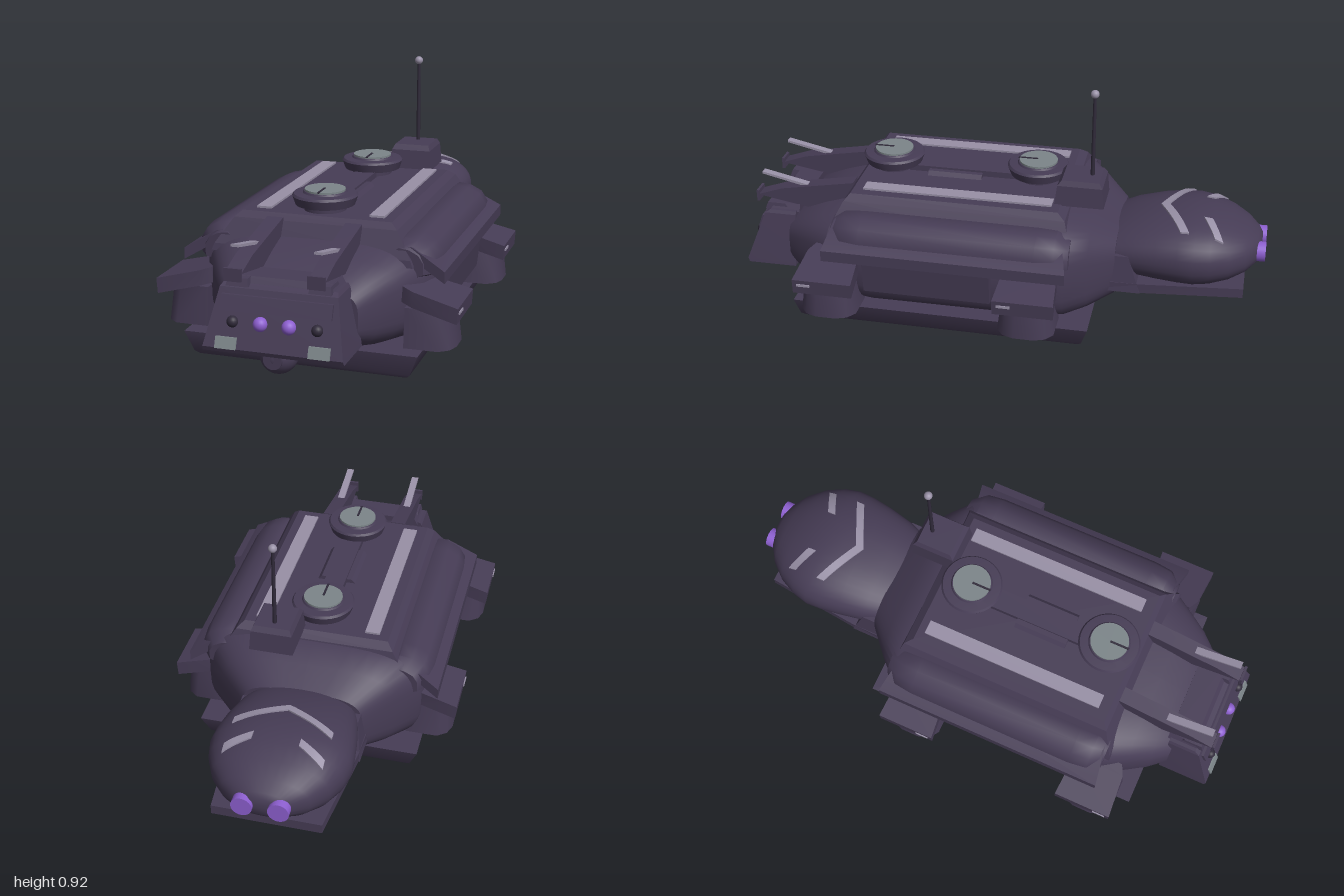
import * as THREE from 'three';
import { toCreasedNormals } from 'three/addons/utils/BufferGeometryUtils.js';

const mat = (name, color) => {
  const m = new THREE.MeshStandardMaterial({ color });
  m.name = name;
  return m;
};

// Skin a list of equal-length point rings, cap both ends, and face it outward.
function loft(rings, crease = 0.6) {
  const n = rings[0].length, pos = [], idx = [];
  const tri = (a, b, c) => idx.push(a, b, c);
  rings.forEach(r => r.forEach(p => pos.push(...p)));
  for (let i = 0; i < rings.length - 1; i++) {
    for (let j = 0; j < n; j++) {
      const a = i * n + j, b = i * n + (j + 1) % n;
      tri(a, b, b + n);
      tri(a, b + n, a + n);
    }
  }
  const last = (rings.length - 1) * n;
  for (let j = 1; j < n - 1; j++) {
    tri(0, j + 1, j);
    tri(last, last + j, last + j + 1);
  }
  const v = i => new THREE.Vector3(pos[3 * i], pos[3 * i + 1], pos[3 * i + 2]);
  const origin = v(0);
  let volume = 0;
  for (let i = 0; i < idx.length; i += 3) {
    const [a, b, c] = [0, 1, 2].map(k => v(idx[i + k]).sub(origin));
    volume += a.dot(b.cross(c));
  }
  if (volume < 0) idx.reverse();
  const g = new THREE.BufferGeometry();
  g.setAttribute('position', new THREE.Float32BufferAttribute(pos, 3));
  g.setIndex(idx);
  return toCreasedNormals(g, crease);
}

// Horizontal rectangle ring
const rect = (y, x0, x1, z0, z1) => [[x0, y, z0], [x1, y, z0], [x1, y, z1], [x0, y, z1]];
// Front-view profile run along z, and side-view profile [z, y] run along x
const alongZ = (pts, z0, z1) => loft([z0, z1].map(z => pts.map(([x, y]) => [x, y, z])));
const alongX = (pts, x0, x1) => loft([x0, x1].map(x => pts.map(([z, y]) => [x, y, z])));
// Rounded cross-section
function oval([z, w, y0, y1], power, count = 40) {
  const f = c => Math.sign(c) * Math.abs(c) ** (2 / power);
  return Array.from({ length: count }, (_, i) => {
    const a = i / count * Math.PI * 2;
    return [w * f(Math.cos(a)), (y0 + y1) / 2 + (y1 - y0) / 2 * f(Math.sin(a)), z];
  });
}

export function createModel() {
  const root = new THREE.Group();
  root.name = 'armouredCarrier';
  const hullMat = mat('dark plum hull', 0x463c55);
  const darkMat = mat('near black trim', 0x302a3a);
  const trimMat = mat('pale lavender trim', 0x9890a6);
  const glassMat = mat('grey glass', 0x7c8589);
  const glowMat = mat('violet lamp', 0x8d5fd0);
  const add = (name, geo, m = hullMat, x = 0, y = 0, z = 0) => {
    const mesh = new THREE.Mesh(geo, m);
    mesh.name = name;
    mesh.position.set(x, y, z);
    root.add(mesh);
    return mesh;
  };

  // Flared base and rounded hull
  add('base', loft([
    rect(0.005, -0.38, 0.38, -0.34, 0.72), rect(0.02, -0.395, 0.395, -0.355, 0.735),
    rect(0.095, -0.425, 0.425, -0.38, 0.75)]));
  add('hull', loft([
    [0.82, 0.24, 0.13, 0.33], [0.76, 0.29, 0.1, 0.37], [0.68, 0.34, 0.08, 0.4],
    [0.58, 0.4, 0.07, 0.43], [0.45, 0.43, 0.065, 0.45], [-0.18, 0.43, 0.065, 0.47],
    [-0.28, 0.41, 0.07, 0.47], [-0.36, 0.33, 0.08, 0.43], [-0.45, 0.23, 0.11, 0.37],
  ].map(s => oval(s, 3.6)), 0.7));

  // Raised roof deck
  add('roofDeck', loft([
    rect(0.36, -0.37, 0.37, -0.31, 0.62), rect(0.385, -0.36, 0.36, -0.3, 0.615),
    rect(0.475, -0.3, 0.3, -0.27, 0.57), rect(0.497, -0.275, 0.275, -0.24, 0.55)], 0.25));
  add('roofSpine', loft([
    rect(0.49, -0.08, 0.08, 0.09, 0.3), rect(0.512, -0.06, 0.06, 0.09, 0.3)]));
  add('spineRidge', new THREE.BoxGeometry(0.08, 0.03, 0.42), hullMat, 0, 0.505, 0.17);

  // Roof hatches
  for (const z of [-0.12, 0.45]) {
    const profile = [[0, 0.49], [0.075, 0.49], [0.075, 0.518], [0.107, 0.518],
      [0.118, 0.55], [0.112, 0.558], [0.08, 0.56], [0.076, 0.566], [0, 0.566]]
      .map(p => new THREE.Vector2(...p));
    add('hatchRing', toCreasedNormals(new THREE.LatheGeometry(profile, 36), 0.5), hullMat, 0, 0, z);
    add('hatchGlass', new THREE.CylinderGeometry(0.073, 0.073, 0.008, 32), glassMat, 0, 0.569, z);
    add('hatchSlot', new THREE.BoxGeometry(0.008, 0.004, 0.075), darkMat, 0, 0.573, z + 0.04);
  }

  // Antenna and its housing
  add('antennaHousing', loft([
    rect(0.492, 0.045, 0.21, -0.4, -0.215), rect(0.57, 0.05, 0.204, -0.393, -0.225),
    rect(0.59, 0.06, 0.195, -0.38, -0.24)], 0.2));
  add('antennaRod', new THREE.CylinderGeometry(0.006, 0.008, 0.32, 10), darkMat, 0.125, 0.745, -0.345);
  add('antennaTip', new THREE.SphereGeometry(0.016, 16, 12), trimMat, 0.125, 0.913, -0.345);

  for (const s of [1, -1]) {
    const mx = pts => pts.map(([x, ...rest]) => [x * s, ...rest]);
    add('roofStripe', new THREE.BoxGeometry(0.055, 0.009, 0.72), trimMat, s * 0.21, 0.5, 0.15);

    // Side bulge, sloping skirt and door panel
    const bulge = [[0.29, 0.35], [0.29, 0.43], [0.325, 0.455], [0.375, 0.448],
      [0.42, 0.425], [0.445, 0.385], [0.445, 0.33], [0.37, 0.3]];
    add('sideBulge', loft([[0.6, 0.72], [0.55, 0.95], [0.48, 1], [-0.18, 1], [-0.25, 0.95], [-0.3, 0.72]]
      .map(([z, k]) => bulge.map(([x, y]) => [s * (0.29 + (x - 0.29) * k), 0.34 + (y - 0.34) * k, z])), 0.8));
    add('sideSkirt', loft([[0.3, 0.43, -0.26, 0.58], [0.36, 0.425, -0.27, 0.59], [0.48, 0.355, -0.3, 0.61]]
      .map(([x, y, z0, z1]) => [[s * x, y, z0], [s * x, y, z1], [s * x, y - 0.042, z1], [s * x, y - 0.042, z0]])));
    add('sidePanel', alongZ(mx([[0.4, 0.185], [0.45, 0.185], [0.465, 0.31], [0.4, 0.33]]), -0.02, 0.46));

    // Corner pods with sloping fenders
    for (const z of [0.59, -0.16]) {
      const ring = (y, out, hz) => [
        [0.36, y, z - hz], [out - 0.05, y, z - hz], [out - 0.015, y, z - hz * 0.75], [out, y, z - hz * 0.35],
        [out, y, z + hz * 0.35], [out - 0.015, y, z + hz * 0.75], [out - 0.05, y, z + hz], [0.36, y, z + hz]];
      add('cornerPod', loft([mx(ring(0.1, 0.53, 0.105)), mx(ring(0.24, 0.515, 0.09))], 0.8));
      add('podFender', loft([[0.35, 0.312, 0.08], [0.39, 0.302, 0.1], [0.55, 0.262, 0.112]]
        .map(([x, y, hz]) => [[s * x, y, z - hz], [s * x, y, z + hz],
          [s * (x - 0.004), y - 0.056, z + hz], [s * (x - 0.004), y - 0.056, z - hz]])));
      add('fenderMarker', new THREE.BoxGeometry(0.006, 0.009, 0.05), trimMat, s * 0.55, 0.242, z + 0.07);
    }
  }

  // Sloping nose box
  const faceZ = y => 0.985 - (y - 0.18) * 0.375;
  add('noseBox', loft([
    rect(0.135, -0.247, 0.247, 0.8, faceZ(0.135) - 0.012), rect(0.15, -0.245, 0.245, 0.8, faceZ(0.15)),
    rect(0.34, -0.207, 0.207, 0.8, faceZ(0.34)), rect(0.352, -0.2, 0.2, 0.8, faceZ(0.352) - 0.015)], 0.2));
  const facePlate = (name, x, w, y0, y1, depth, m) => add(name, loft([y0, y1].map(y =>
    rect(y, x - w / 2, x + w / 2, faceZ(y) - 0.002, faceZ(y) + depth))), m);
  facePlate('noseVisor', 0, 0.39, 0.27, 0.32, 0.01, hullMat);
  add('noseTop', loft([rect(0.345, -0.19, 0.19, 0.79, 0.91), rect(0.373, -0.175, 0.175, 0.79, 0.89)]));
  add('noseBall', new THREE.SphereGeometry(0.066, 28, 20), hullMat, 0, 0.124, 0.925);
  const port = add('noseBallPort', new THREE.CylinderGeometry(0.033, 0.033, 0.012, 24), hullMat, 0, 0.124, 0.984);
  port.rotation.x = Math.PI / 2;

  for (const s of [1, -1]) {
    // Lamps and headlight plates
    add('noseLamp', new THREE.SphereGeometry(0.025, 20, 14), glowMat, s * 0.05, 0.235, faceZ(0.235));
    add('noseSensor', new THREE.SphereGeometry(0.02, 18, 12), darkMat, s * 0.148, 0.235, faceZ(0.235));
    facePlate('headlight', s * 0.163, 0.075, 0.15, 0.187, 0.006, glassMat);

    // Front arms with pale top rails
    const x = s * 0.145;
    add('armWedge', alongX([[0.96, 0.4], [0.86, 0.435], [0.57, 0.487], [0.57, 0.42], [0.74, 0.362]],
      x - 0.03, x + 0.03));
    add('armFoot', loft([
      rect(0.345, x - 0.04, x + 0.04, 0.83, 0.93), rect(0.372, x - 0.035, x + 0.035, 0.85, 0.92)]));
    add('armTip', new THREE.BoxGeometry(0.062, 0.045, 0.01), hullMat, x, 0.395, 0.96);
    add('armRail', alongX([[0.73, 0.436], [0.94, 0.484], [0.94, 0.493], [0.73, 0.447]], x - 0.014, x + 0.014), trimMat);
  }

  // Rear head pod on a tapering tray
  const head = [[-0.43, 0.2, 0.2, 0.37], [-0.5, 0.225, 0.182, 0.4], [-0.6, 0.245, 0.172, 0.425],
    [-0.68, 0.256, 0.167, 0.437], [-0.74, 0.259, 0.166, 0.437], [-0.8, 0.245, 0.172, 0.43],
    [-0.87, 0.212, 0.19, 0.408], [-0.93, 0.16, 0.215, 0.38], [-0.97, 0.1, 0.245, 0.352], [-0.985, 0.06, 0.265, 0.335]];
  const power = 2.3;
  add('rearHead', loft(head.map(s => oval(s, power)), 0.9));
  add('rearTray', loft([[-0.36, 0.245], [-0.55, 0.24], [-0.93, 0.2]].map(([z, w]) =>
    [[-w, 0.17, z], [w, 0.17, z], [w, 0.207, z], [-w, 0.207, z]])));
  add('neckBlock', loft([
    rect(0.17, -0.245, 0.245, -0.55, -0.38), rect(0.31, -0.225, 0.225, -0.5, -0.38)]));

  // Pale markings draped over the head
  const headTop = (x, z) => {
    const i = Math.max(0, head.findIndex((h, k) => k < head.length - 1 && z >= head[k + 1][0]));
    const a = head[i], b = head[i + 1], t = (z - a[0]) / (b[0] - a[0]);
    const [w, y0, y1] = [1, 2, 3].map(k => a[k] + (b[k] - a[k]) * t);
    return (y0 + y1) / 2 + (y1 - y0) / 2 * Math.max(0, 1 - (Math.abs(x) / w) ** power) ** (1 / power);
  };
  const marking = (name, x0, z0, x1, z1) => {
    const rings = Array.from({ length: 9 }, (_, i) => {
      const x = x0 + (x1 - x0) * i / 8, z = z0 + (z1 - z0) * i / 8;
      const [za, zb] = [z - 0.016, z + 0.016], [ya, yb] = [headTop(x, za), headTop(x, zb)];
      return [[x, ya - 0.003, za], [x, ya + 0.006, za], [x, yb + 0.006, zb], [x, yb - 0.003, zb]];
    });
    add(name, loft(rings), trimMat);
  };
  for (const s of [1, -1]) {
    marking('chevron', 0, -0.612, s * 0.18, -0.7);
    marking('browMark', s * 0.085, -0.78, s * 0.18, -0.827);
    const jet = add('rearLamp', new THREE.CylinderGeometry(0.038, 0.038, 0.07, 28), glowMat, s * 0.065, 0.3, -0.965);
    jet.rotation.x = Math.PI / 2;
  }
  return root;
}
